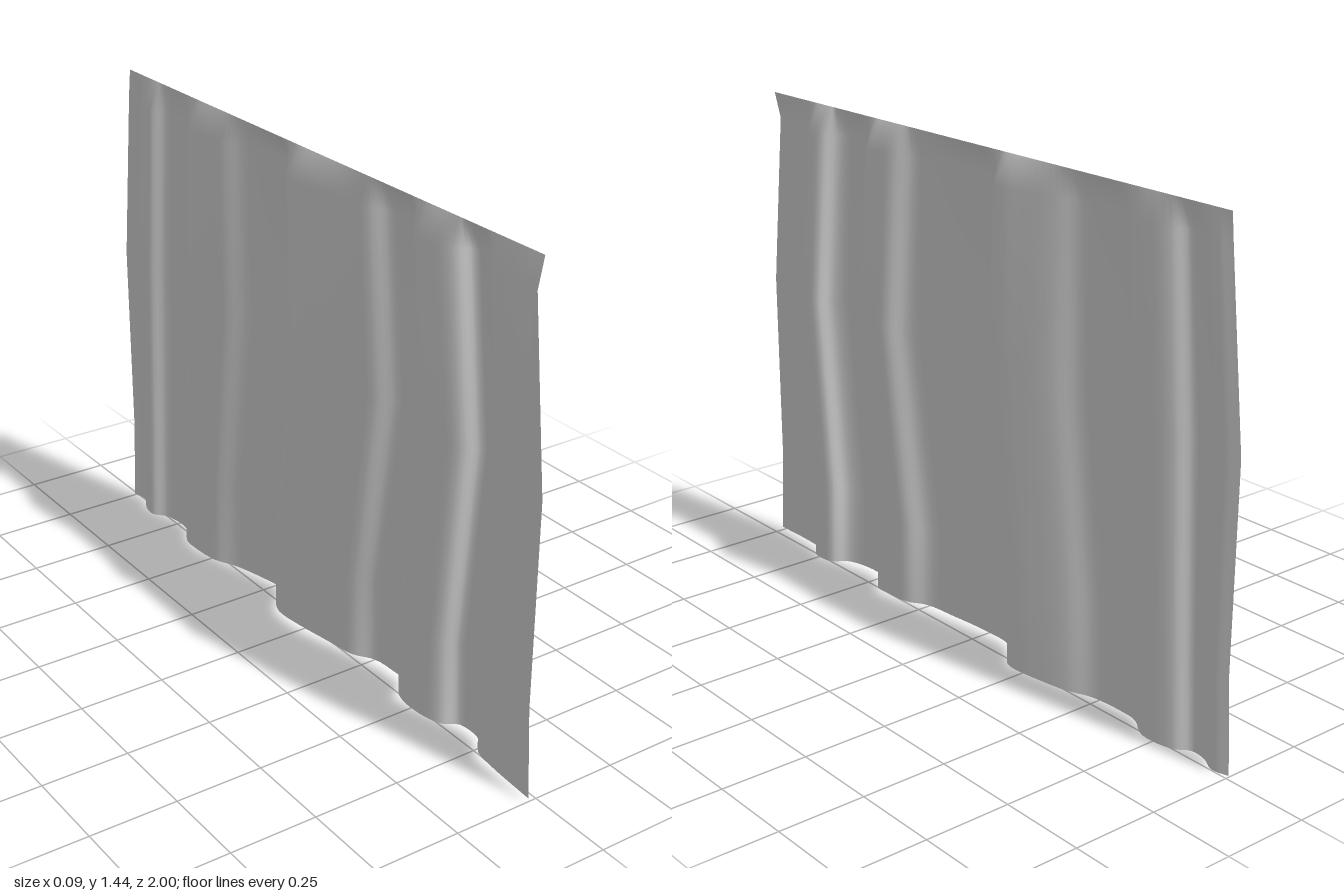
import * as THREE from 'three';

// Fold profile at the hem: [z across the cloth, x depth of the fold]
const FOLDS = [
  [-1, -0.01], [-0.95, 0], [-0.9, -0.025], [-0.85, -0.03], [-0.81, 0], [-0.71, 0.01],
  [-0.64, -0.03], [-0.58, -0.035], [-0.48, -0.025], [-0.41, 0.005], [-0.31, 0.028],
  [-0.22, 0.04], [-0.19, 0.03], [-0.15, -0.02], [-0.1, -0.043], [0, -0.04], [0.12, -0.025],
  [0.22, -0.01], [0.28, 0.025], [0.36, 0.032], [0.41, 0.03], [0.45, -0.02], [0.5, -0.035],
  [0.58, -0.03], [0.63, -0.012], [0.66, 0.025], [0.74, 0.026], [0.78, -0.01],
  [0.85, -0.02], [1, -0.025],
];

// Rows from top to hem: height, half width, sideways drift of the folds, fold strength
const ROWS = [
  { y: 1.44, w: 0.932, drift: 0.06, depth: 0 },
  { y: 1.36, w: 0.935, drift: 0.06, depth: 1 },
  { y: 0.85, w: 0.99, drift: 0.09, depth: 1 },
  { y: 0.27, w: 0.985, drift: 0, depth: 1 },
  { y: 0.015, w: 1, drift: 0, depth: 1 },
];

const SEGMENTS = 116;

function clothGeometry() {
  const curve = new THREE.CatmullRomCurve3(FOLDS.map(([z, x]) => new THREE.Vector3(x, 0, z)));
  const profile = curve.getPoints(SEGMENTS);
  const positions = [];
  const indices = [];
  const stride = SEGMENTS + 1;

  ROWS.forEach((row, r) => {
    for (const p of profile) {
      const u = p.z;
      // Folds drift most in the middle, while the side edges stay put
      const z = (u + row.drift * (1 - u * u)) * row.w;
      const x = row.depth ? p.x * row.depth : -0.005;
      // The hem hangs slightly lower on one half
      const wave = r === ROWS.length - 1 ? 0.012 * Math.sin(u * Math.PI * 0.9 + 0.5) : 0;
      positions.push(x, row.y + wave, z);
    }
  });

  for (let r = 0; r < ROWS.length - 1; r++) {
    for (let i = 0; i < SEGMENTS; i++) {
      const a = r * stride + i;
      const b = a + stride;
      indices.push(a, a + 1, b, a + 1, b + 1, b);
    }
  }

  const geometry = new THREE.BufferGeometry();
  geometry.setAttribute('position', new THREE.Float32BufferAttribute(positions, 3));
  geometry.setIndex(indices);
  geometry.computeVertexNormals();
  return geometry;
}

export function createModel() {
  const model = new THREE.Group();
  model.name = 'hangingCurtain';

  // Thin cloth sheet, visible from both sides
  const cloth = new THREE.Mesh(
    clothGeometry(),
    new THREE.MeshStandardMaterial({ color: 0xcccccc, side: THREE.DoubleSide })
  );
  cloth.name = 'curtainCloth';
  model.add(cloth);
  return model;
}
